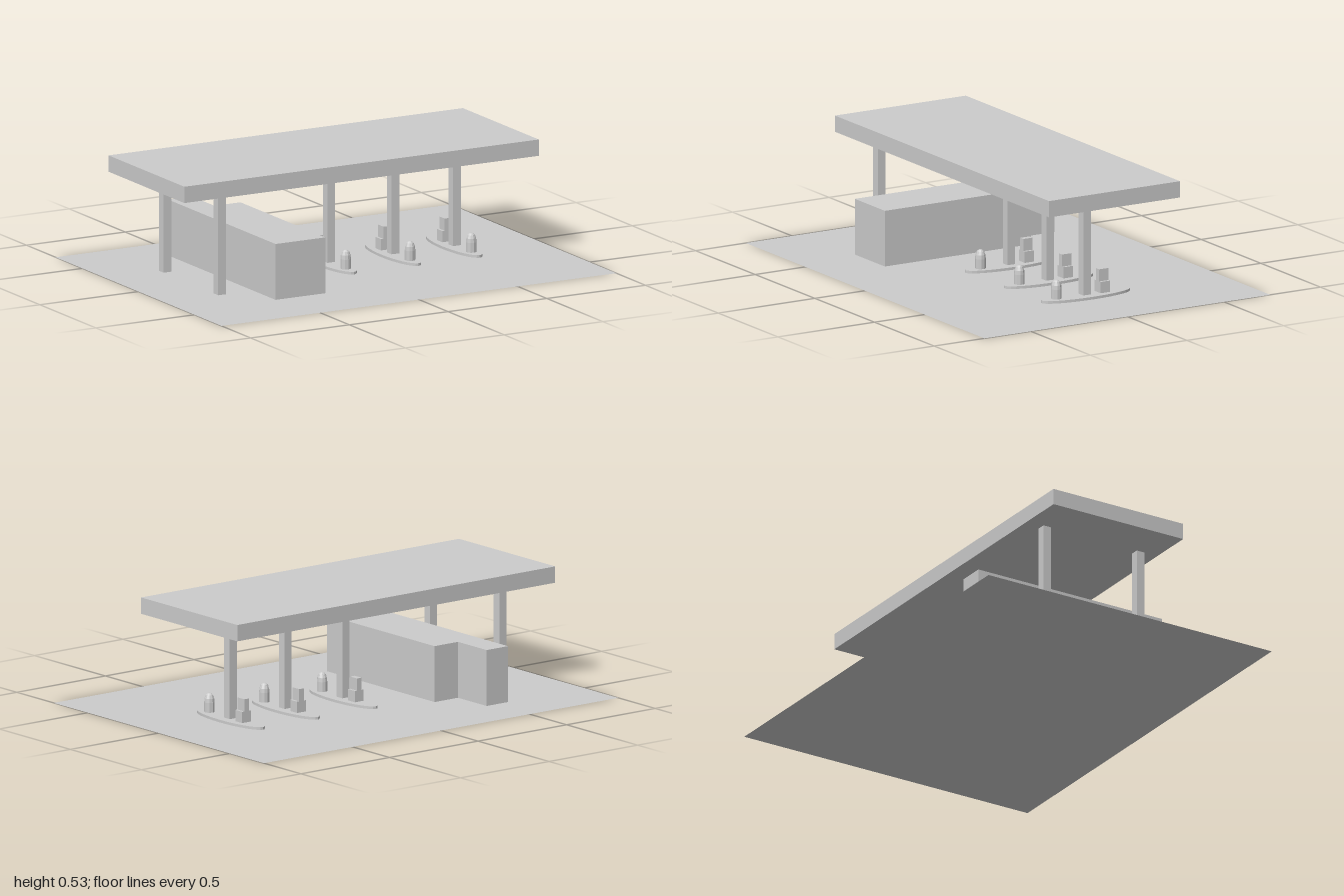
import * as THREE from 'three';

export function createModel() {
  const root = new THREE.Group();
  root.name = 'fuelStation';
  const mat = new THREE.MeshStandardMaterial({ color: 0xcccccc, flatShading: true });
  const thinMat = new THREE.MeshStandardMaterial({ color: 0xcccccc, side: THREE.DoubleSide });

  const add = (parent, name, geometry, material = mat) => {
    const mesh = new THREE.Mesh(geometry, material);
    mesh.name = name;
    parent.add(mesh);
    return mesh;
  };
  // Box given by its limits on each axis
  const box = (parent, name, [x0, x1], [y0, y1], [z0, z1]) => {
    const g = new THREE.BoxGeometry(x1 - x0, y1 - y0, z1 - z0);
    g.translate((x0 + x1) / 2, (y0 + y1) / 2, (z0 + z1) / 2);
    return add(parent, name, g);
  };
  const column = (parent, x, z) =>
    box(parent, 'canopyColumn', [x - 0.02, x + 0.02], [0.003, 0.46], [z - 0.02, z + 0.02]);

  // Forecourt slab, a single flat sheet
  add(root, 'forecourt', new THREE.PlaneGeometry(2, 1.48).rotateX(-Math.PI / 2), thinMat);

  // Canopy roof and the two columns beside the shop
  box(root, 'canopyRoof', [-0.945, 0.85], [0.46, 0.534], [-0.365, 0.312]);
  column(root, -0.715, 0.224);
  column(root, -0.715, -0.263);

  // Shop with an L-shaped plan, notched at the back (shape y is -z)
  const plan = new THREE.Shape([
    [-0.56, -0.447], [-0.308, -0.447], [-0.308, 0.31],
    [-0.44, 0.31], [-0.44, 0.512], [-0.56, 0.512],
  ].map(([x, y]) => new THREE.Vector2(x, y)));
  const shop = new THREE.ExtrudeGeometry(plan, { depth: 0.253, bevelEnabled: false });
  add(root, 'shop', shop.rotateX(-Math.PI / 2).translate(0, 0.004, 0));

  // Rounded bollard profile
  const bollardProfile = [
    [0.024, 0.016], [0.024, 0.06], [0.022, 0.078], [0.016, 0.093], [0.008, 0.1], [0, 0.101],
  ].map(([r, y]) => new THREE.Vector2(r, y));

  // Pump islands: oval kerb, column, bollard and stepped pump
  for (const x of [-0.024, 0.302, 0.612]) {
    const island = new THREE.Group();
    island.name = 'pumpIsland';
    island.position.x = x;
    root.add(island);

    const kerb = new THREE.CylinderGeometry(1, 1, 0.012, 32);
    kerb.scale(0.062, 1, 0.227).translate(0, 0.01, -0.023);
    add(island, 'islandKerb', kerb);
    column(island, 0, -0.02);
    add(island, 'bollard', new THREE.LatheGeometry(bollardProfile, 10)).position.z = 0.128;
    box(island, 'pumpBase', [-0.025, 0.025], [0.016, 0.067], [-0.134, -0.086]);
    box(island, 'pumpTower', [-0.013, 0.013], [0.067, 0.122], [-0.134, -0.086]);
  }
  return root;
}
